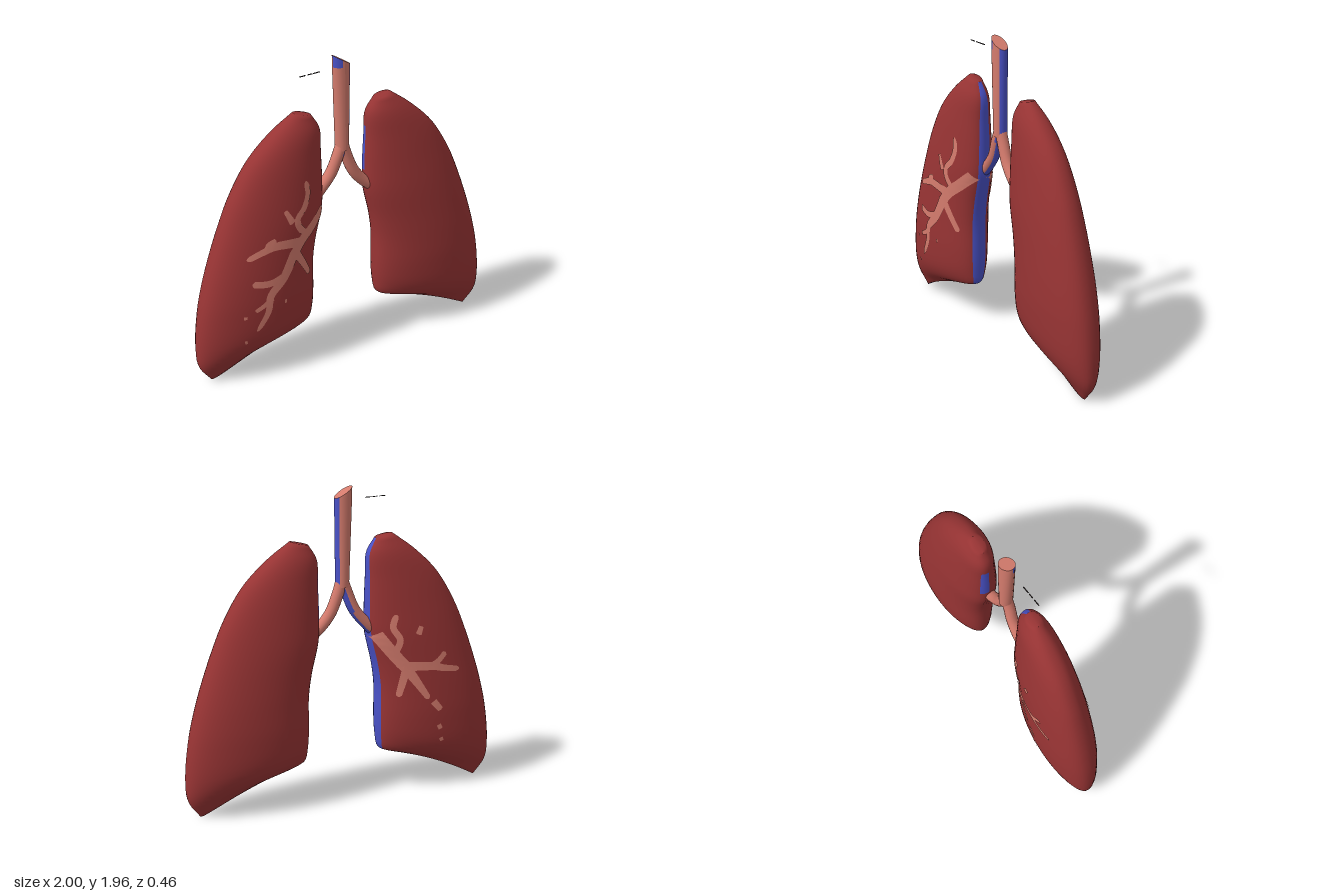
import * as THREE from 'three';

const paint = (name, color, side = THREE.FrontSide) => {
  const m = new THREE.MeshStandardMaterial({ color, side });
  m.name = name;
  return m;
};

// Lung sections from apex to base: inner x, inner y, half thickness, outer x, outer y, upward bow
const SECTIONS = [
  [0.22, 1.64, 0.04, 0.33, 1.665, 0], [0.17, 1.55, 0.085, 0.47, 1.56, 0],
  [0.165, 1.4, 0.115, 0.62, 1.41, 0], [0.16, 1.2, 0.14, 0.74, 1.21, 0],
  [0.165, 1.05, 0.156, 0.815, 1.03, 0], [0.21, 0.85, 0.166, 0.885, 0.83, 0],
  [0.23, 0.7, 0.172, 0.935, 0.66, 0], [0.23, 0.5, 0.172, 0.975, 0.48, 0],
  [0.235, 0.38, 0.156, 1.0, 0.25, 0], [0.25, 0.29, 0.115, 0.99, 0.11, 0.02],
  [0.3, 0.26, 0.05, 0.92, 0.005, 0.035],
];
const ROWS = 44, COLS = 48;

// isLining(row, column) picks the faces that take the second colour
function lungGeometry(isLining) {
  const inner = new THREE.CatmullRomCurve3(SECTIONS.map(s => new THREE.Vector3(s[0], s[1], s[2])));
  const outer = new THREE.CatmullRomCurve3(SECTIONS.map(s => new THREE.Vector3(s[3], s[4], s[5])));
  const pos = [];
  for (let r = -1; r <= ROWS + 1; r++) {
    const t = THREE.MathUtils.clamp(r / ROWS, 0, 1);
    const a = inner.getPoint(t), b = outer.getPoint(t);
    const thick = r < 0 || r > ROWS ? 0 : a.z; // closed at both ends
    for (let c = 0; c < COLS; c++) {
      const ang = c / COLS * Math.PI * 2, u = Math.cos(ang), s = Math.sin(ang);
      const k = (u + 1) / 2;
      const x = a.x + (b.x - a.x) * k;
      const y = a.y + (b.y - a.y) * k + b.z * (1 - u * u);
      pos.push(x, y, 0.105 * (x - 0.12) + thick * Math.sign(s) * Math.abs(s) ** 0.9);
    }
  }
  const skin = [], lining = [];
  for (let r = 0; r < ROWS + 2; r++) for (let c = 0; c < COLS; c++) {
    const n = (c + 1) % COLS, p = r * COLS, q = p + COLS;
    (isLining(r, c) ? lining : skin).push(p + c, p + n, q + c, q + c, p + n, q + n);
  }
  const g = new THREE.BufferGeometry();
  g.setAttribute('position', new THREE.Float32BufferAttribute(pos, 3));
  g.setIndex([...skin, ...lining]);
  g.addGroup(0, skin.length, 0);
  g.addGroup(skin.length, lining.length, 1);
  g.computeVertexNormals();
  return g;
}

// Moves quads into a second material group by mean normal x and mean position
function splitFaces(g, test) {
  const idx = g.index.array, a = [], b = [], v = new THREE.Vector3();
  for (let i = 0; i < idx.length; i += 6) {
    const quad = Array.from(idx.slice(i, i + 6)), mid = new THREE.Vector3();
    let nx = 0;
    for (const k of quad) {
      nx += g.attributes.normal.getX(k) / 6;
      mid.addScaledVector(v.fromBufferAttribute(g.attributes.position, k), 1 / 6);
    }
    (test(nx, mid) ? b : a).push(...quad);
  }
  g.setIndex([...a, ...b]);
  g.clearGroups();
  g.addGroup(0, a.length, 0);
  g.addGroup(a.length, b.length, 1);
  return g;
}

// Airway branches over the lung: start half width, end half width, then x, y points
const FRONT = [
  [0.034, 0.036, [-0.195, 1.055, -0.28, 0.98, -0.38, 0.9, -0.44, 0.82]],
  [0.036, 0.015, [-0.43, 0.84, -0.51, 0.7, -0.6, 0.6, -0.62, 0.49, -0.69, 0.37]],
  [0.022, 0.018, [-0.33, 0.93, -0.39, 1.0, -0.4, 1.06, -0.35, 1.12, -0.32, 1.2, -0.33, 1.28]],
  [0.032, 0.016, [-0.37, 0.9, -0.54, 0.92, -0.63, 0.9, -0.73, 0.86]],
  [0.012, 0.016, [-0.61, 0.9, -0.6, 0.94, -0.55, 0.96]],
  [0.022, 0.022, [-0.49, 0.72, -0.6, 0.685, -0.71, 0.7]],
  [0.028, 0.016, [-0.42, 0.84, -0.36, 0.74, -0.31, 0.65]],
  [0.018, 0.013, [-0.59, 0.58, -0.65, 0.54, -0.7, 0.515]],
  [0.012, 0.022, [-0.48, 1.13, -0.46, 1.09, -0.435, 1.04]],
  [0.008, 0.008, [-0.5, 0.545, -0.5, 0.52]],
  [0.01, 0.01, [-0.77, 0.48, -0.75, 0.48]],
  [0.008, 0.008, [-0.76, 0.315, -0.755, 0.29]],
];
const BACK = [
  [0.034, 0.036, [-0.195, 1.055, -0.27, 0.95, -0.35, 0.85]],
  [0.036, 0.016, [-0.34, 0.865, -0.42, 0.75, -0.5, 0.63]],
  [0.02, 0.018, [-0.29, 0.93, -0.32, 1.02, -0.28, 1.1, -0.3, 1.18]],
  [0.03, 0.016, [-0.35, 0.85, -0.52, 0.84, -0.6, 0.82, -0.71, 0.8]],
  [0.018, 0.018, [-0.5, 0.84, -0.56, 0.87, -0.61, 0.92]],
  [0.026, 0.016, [-0.36, 0.83, -0.34, 0.74, -0.32, 0.65]],
  [0.014, 0.02, [-0.45, 1.1, -0.43, 1.05]],
  [0.022, 0.018, [-0.53, 0.61, -0.58, 0.55]],
  [0.014, 0.014, [-0.57, 0.45, -0.585, 0.42]],
  [0.012, 0.012, [-0.59, 0.36, -0.6, 0.335]],
];

// Flat ribbon laid on the lung surface; side +1 is the front, -1 the back
function ribbon([w0, w1, xy], lung, side) {
  const pts = [];
  for (let i = 0; i < xy.length; i += 2) pts.push(new THREE.Vector2(xy[i], xy[i + 1]));
  const curve = new THREE.SplineCurve(pts), n = pts.length * 7, across = 4;
  const ray = new THREE.Raycaster(), dir = new THREE.Vector3(0, 0, -side);
  const pos = [], idx = [];
  let z = -0.01;
  for (let i = 0; i <= n; i++) {
    const t = i / n, p = curve.getPoint(t), d = curve.getTangent(t);
    const w = (w0 + (w1 - w0) * t) * Math.sqrt(Math.min(1, (1.005 - t) / 0.1));
    for (let j = 0; j <= across; j++) {
      const o = (j / across * 2 - 1) * w, x = p.x - d.y * o, y = p.y + d.x * o;
      ray.set(new THREE.Vector3(x, y, 2 * side), dir);
      const hit = ray.intersectObject(lung)[0];
      if (hit) z = hit.point.z;
      pos.push(x, y, z + 0.006 * side);
      if (i < n && j < across) {
        const k = i * (across + 1) + j, m = k + across + 1;
        idx.push(...(side > 0 ? [k, m, k + 1, k + 1, m, m + 1] : [k, k + 1, m, k + 1, m + 1, m]));
      }
    }
  }
  const g = new THREE.BufferGeometry();
  g.setAttribute('position', new THREE.Float32BufferAttribute(pos, 3));
  g.setIndex(idx);
  g.computeVertexNormals();
  return g;
}

export function createModel() {
  const root = new THREE.Group();
  root.name = 'lungs';
  const red = paint('lungRed', 0x983434);
  const pink = paint('airwayPink', 0xd47b6d, THREE.DoubleSide);
  const blue = paint('liningBlue', 0x4a52c8);
  const dark = paint('fragmentDark', 0x2a2424);
  const add = (name, geometry, material, parent = root) => {
    const m = new THREE.Mesh(geometry, material);
    m.name = name;
    parent.add(m);
    return m;
  };

  // Left lung: lining only behind the upper inner rim and in the middle of the base
  add('leftLung', lungGeometry((r, c) =>
    (r > 7 && r < 15 && c >= 24 && c < 27) ||
    (r === ROWS + 1 && Math.abs(Math.cos((c + 0.5) / COLS * Math.PI * 2)) < 0.5)), [red, blue]);
  // Right lung: turned half way round, lined along the whole inner rim and base
  const rightLung = add('rightLung', lungGeometry((r, c) =>
    Math.abs(c + 0.5 - COLS / 2) < 2 || r === ROWS + 1).rotateY(Math.PI), [red, blue]);

  // Branches on both faces of the right lung
  for (const [name, list, side] of [['frontBranches', FRONT, 1], ['backBranches', BACK, -1]]) {
    const tree = new THREE.Group();
    tree.name = name;
    root.add(tree);
    list.forEach(b => add('branch', ribbon(b, rightLung, side), pink, tree));
  }

  // Trachea, wider at the slanted top, with a lined left side and front tip
  const pipe = new THREE.CylinderGeometry(0.057, 0.042, 0.57, 24, 15);
  const p = pipe.attributes.position;
  for (let i = 0; i < p.count; i++) {
    const x = p.getX(i), y = p.getY(i), k = (y + 0.285) / 0.57;
    p.setXYZ(i, x - 0.003 - 0.007 * k, 1.36 + 0.575 * k - (k > 0.99 ? x * 0.6 : 0), p.getZ(i) * (1 - 0.25 * k));
  }
  pipe.computeVertexNormals();
  add('trachea', splitFaces(pipe, (nx, m) =>
    nx > 0.62 || (m.y > 1.92 && m.x < -0.02 && m.z > 0.004 && nx < -0.2)), [pink, blue]);

  // Bronchi
  const tube = pts => new THREE.TubeGeometry(
    new THREE.CatmullRomCurve3(pts.map(q => new THREE.Vector3(...q))), 16, 0.036, 16);
  add('rightBronchus', splitFaces(tube(
    [[-0.005, 1.4, 0], [-0.035, 1.32, 0], [-0.08, 1.21, -0.01], [-0.16, 1.11, -0.02], [-0.22, 1.05, -0.02]]),
  nx => nx > 0.5), [pink, blue]);
  add('leftBronchus', tube(
    [[0, 1.4, 0], [0.025, 1.32, 0], [0.075, 1.2, 0.005], [0.14, 1.12, 0.01], [0.2, 1.07, 0.015]]), pink);

  // Small loose slivers beside the trachea
  for (const [x, w] of [[-0.275, 0.04], [-0.225, 0.03], [-0.18, 0.045]]) {
    add('sliver', new THREE.BoxGeometry(w, 0.004, 0.006).translate(x, 1.89, 0), dark);
  }
  return root;
}
